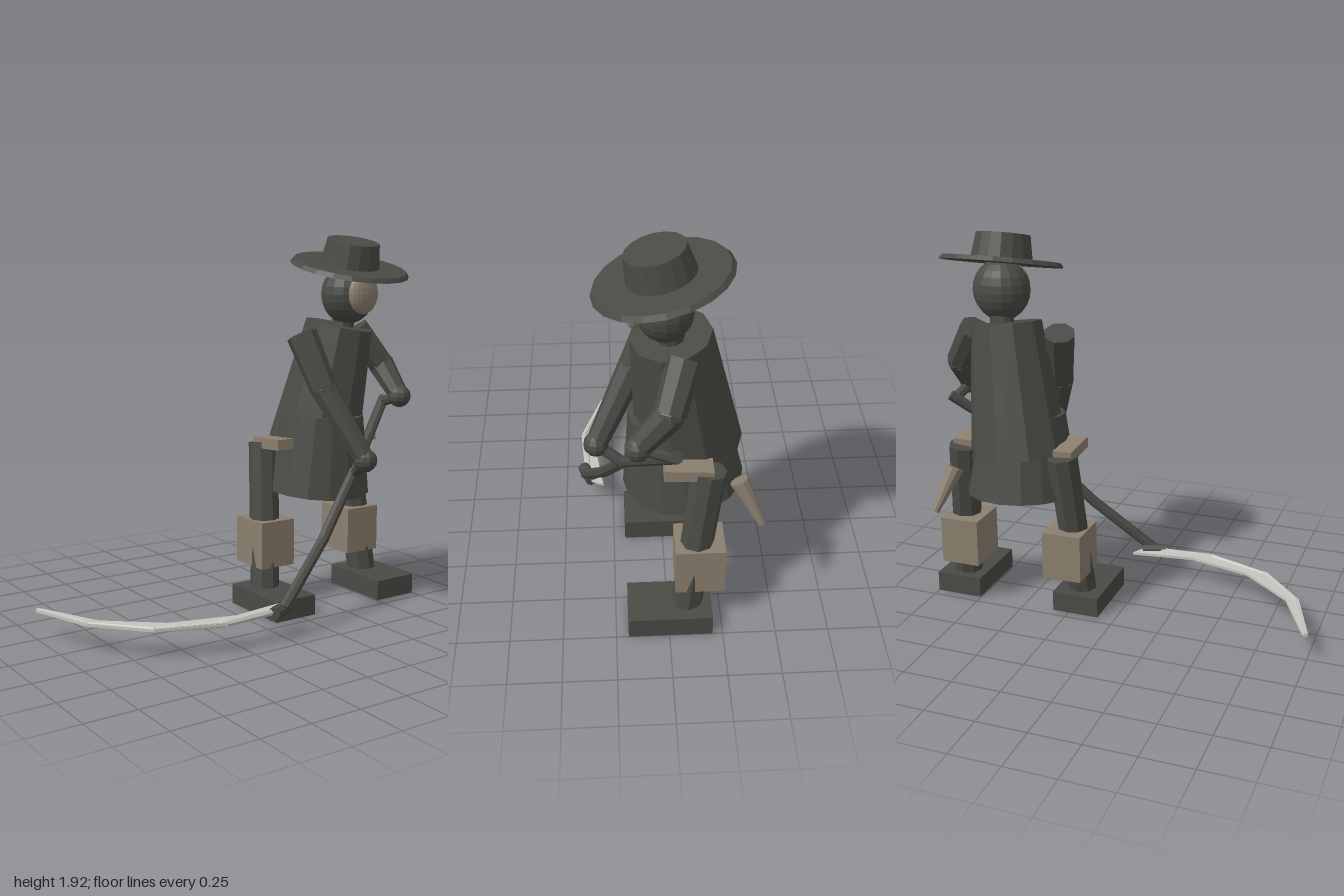
import * as THREE from 'three';

const charcoal = new THREE.MeshStandardMaterial({ color: 0x4a4b45 });
charcoal.name = 'charcoal cloth';
const tan = new THREE.MeshStandardMaterial({ color: 0x8c806f });
tan.name = 'dusty tan';
const steel = new THREE.MeshStandardMaterial({ color: 0xc6c6bf });
steel.name = 'pale steel';

const V = (p) => new THREE.Vector3(...p);

export function createModel() {
  const model = new THREE.Group();
  model.name = 'reaperFigure';

  // Faceted mesh helper
  function add(name, geometry, material, position = [0, 0, 0], parent = model) {
    const flat = geometry.index ? geometry.toNonIndexed() : geometry;
    flat.computeVertexNormals();
    const mesh = new THREE.Mesh(flat, material);
    mesh.name = name;
    mesh.position.set(...position);
    parent.add(mesh);
    return mesh;
  }

  // Tapered rod running from a to b
  function rod(name, a, b, ra, rb, sides = 8, material = charcoal) {
    const axis = V(b).sub(V(a));
    const mesh = add(name, new THREE.CylinderGeometry(rb, ra, axis.length(), sides), material,
      V(a).add(V(b)).multiplyScalar(0.5).toArray());
    mesh.quaternion.setFromUnitVectors(new THREE.Vector3(0, 1, 0), axis.normalize());
    return mesh;
  }

  function ball(name, center, scale, material, w = 16, h = 12) {
    return add(name, new THREE.SphereGeometry(1, w, h).scale(...scale), material, center);
  }

  // Hat, tipped forward
  const hat = new THREE.Group();
  hat.name = 'hat';
  hat.position.set(0.67, 1.76, 0.02);
  hat.rotation.x = 0.23;
  model.add(hat);
  add('hatBrim', new THREE.CylinderGeometry(0.295, 0.31, 0.022, 20), charcoal, [0, 0, 0], hat);
  add('hatCrown', new THREE.CylinderGeometry(0.135, 0.155, 0.13, 16), charcoal, [0, 0.07, 0], hat);

  // Head
  ball('head', [0.67, 1.62, 0.01], [0.147, 0.155, 0.13], charcoal);
  ball('face', [0.665, 1.625, 0.14], [0.09, 0.105, 0.043], tan);
  rod('neck', [0.65, 1.4, -0.025], [0.67, 1.53, -0.01], 0.06, 0.06, 10);

  // Leaning coat body and flared skirt
  rod('coat', [0.54, 0.8, -0.11], [0.637, 1.46, -0.02], 0.25, 0.18, 10);
  rod('skirt', [0.54, 0.6, -0.085], [0.55, 1.01, -0.048], 0.285, 0.22, 16);

  // Arms: shoulder, elbow, hand, and the grip joining the hand to the shaft
  const arms = [
    ['right', [0.365, 1.42, 0.02], [0.417, 1.15, 0.14], [0.545, 0.8, 0.32], [0.575, 0.71, 0.2]],
    ['left', [0.785, 1.43, -0.07], [0.915, 1.24, 0], [0.93, 1.08, 0.135], [0.945, 1.03, -0.02]],
  ];
  for (const [side, shoulder, elbow, hand, grip] of arms) {
    rod(side + 'UpperArm', shoulder, elbow, 0.08, 0.07);
    ball(side + 'Elbow', elbow, [0.069, 0.069, 0.069], charcoal, 8, 6);
    rod(side + 'Forearm', elbow, hand, 0.07, 0.052);
    ball(side + 'Hand', hand, [0.06, 0.06, 0.06], charcoal, 10, 8);
    rod(side + 'Grip', hand, grip, 0.027, 0.027);
  }

  // Legs, feet, knee guards and hip pads
  for (const [side, s] of [['right', -1], ['left', 1]]) {
    const at = (offset) => 0.545 + s * offset;
    rod(side + 'Leg', [at(0.33), 0.08, -0.085], [at(0.27), 0.85, -0.185], 0.075, 0.08);
    add(side + 'Foot', new THREE.BoxGeometry(0.245, 0.105, 0.395), charcoal, [at(0.333), 0.0525, -0.005]);
    add(side + 'KneeGuard', new THREE.BoxGeometry(0.205, 0.245, 0.23), tan, [at(0.285), 0.333, -0.145]);
    const pad = add(side + 'HipPad', new THREE.BoxGeometry(0.1, 0.055, 0.22), tan, [at(0.275), 0.858, -0.09]);
    pad.rotation.x = -0.06;
  }

  // Whetstone horn hanging at the hip
  rod('hipHorn', [0.8, 0.77, -0.32], [0.866, 0.565, -0.425], 0.045, 0.018, 10, tan);

  // Scythe shaft, gently bent
  const shaft = [[0.965, 1.05, -0.03], [0.58, 0.72, 0.19], [0.3, 0.42, 0.295], [-0.01, 0.15, 0.395]];
  for (let i = 0; i < 3; i++) {
    rod('shaft', shaft[i], shaft[i + 1], 0.028, 0.028);
    if (i) ball('shaftJoint', shaft[i], [0.027, 0.027, 0.027], charcoal, 8, 6);
  }
  rod('shaftSocket', [-0.075, 0.14, 0.405], [0.04, 0.145, 0.36], 0.032, 0.032);

  // Blade plate, drawn as x and -z then laid flat
  const outer = [[-1, 0.26], [-0.89, -0.065], [-0.675, -0.305], [-0.36, -0.415], [0.03, -0.385]];
  const inner = [[0.075, -0.3], [-0.255, -0.345], [-0.575, -0.26], [-0.825, -0.05], [-0.97, 0.26]];
  const outline = new THREE.Shape([...outer, ...inner].map(([x, y]) => new THREE.Vector2(x, y)));
  const plate = new THREE.ExtrudeGeometry(outline, { depth: 0.014, bevelEnabled: false });
  add('bladePlate', plate.rotateX(-Math.PI / 2), steel, [0, 0.133, 0]);

  // Raised spine following the outer edge
  for (let i = 0; i < 4; i++) {
    const [a, b] = [outer[i], outer[i + 1]];
    rod('bladeSpine', [a[0] + 0.012, 0.14, -a[1] - 0.012], [b[0] + 0.012, 0.14, -b[1] - 0.012],
      0.01 + i * 0.002, 0.012 + i * 0.002, 6, steel);
  }

  return model;
}
